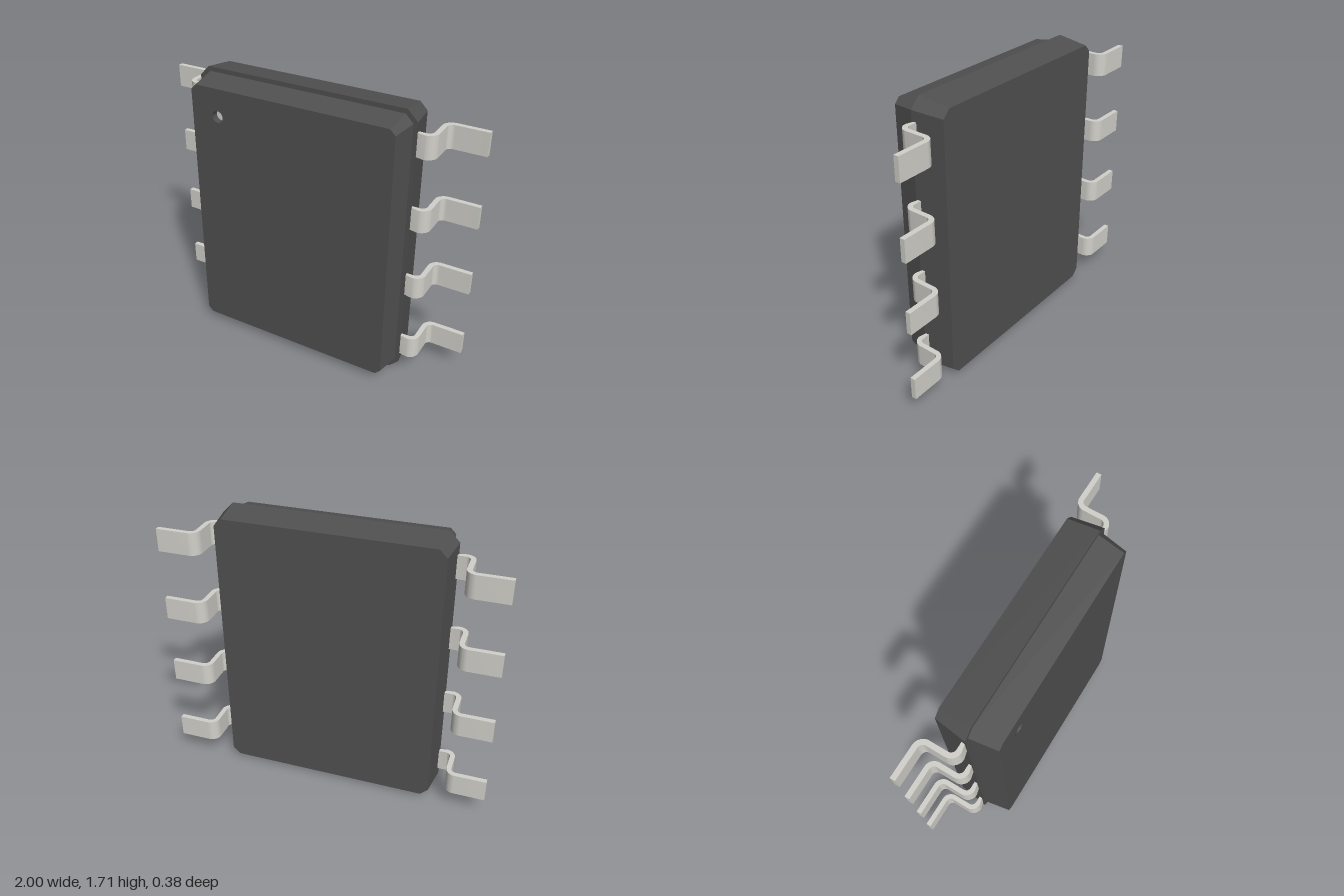
import * as THREE from 'three';
import { toCreasedNormals } from 'three/addons/utils/BufferGeometryUtils.js';

const CENTER_Y = 0.853;   // middle of the package
const SEAM_Z = 0.032;     // plane where the two body halves meet
const HOLE = { x: -0.457, y: 1.485 - CENTER_Y, r: 0.035, depth: 0.04 };

const bodyMat = new THREE.MeshStandardMaterial({ color: 0x505050 });
const metalMat = new THREE.MeshStandardMaterial({ color: 0xd2d1cb });

// Tapered slab with chamfered corners; wide end at z = 0, narrow end at z = depth
function taperedSlab(w, h, chamfer, depth, hole) {
  const outline = [];
  for (const [sx, sy] of [[1, 1], [-1, 1], [-1, -1], [1, -1]]) {
    const side = new THREE.Vector2(sx * w, sy * (h - chamfer));
    const end = new THREE.Vector2(sx * (w - chamfer), sy * h);
    outline.push(...(sx * sy > 0 ? [side, end] : [end, side]));
  }
  const shape = new THREE.Shape(outline);
  if (hole) {
    shape.holes.push(new THREE.Path().absarc(hole.x, hole.y, hole.r, 0, Math.PI * 2, true));
  }
  const geo = new THREE.ExtrudeGeometry(shape, { depth, bevelEnabled: false, curveSegments: 32 });

  // Draw the outer corners of the narrow end inward
  const p = geo.attributes.position;
  for (let i = 0; i < p.count; i++) {
    const x = p.getX(i), y = p.getY(i);
    if (p.getZ(i) < depth / 2) continue;
    const onSide = Math.abs(Math.abs(x) - w) < 1e-4;
    const onEnd = Math.abs(Math.abs(y) - h) < 1e-4;
    if (!onSide && !onEnd) continue;
    p.setXY(i, x - Math.sign(x) * (onSide ? 0.026 : 0.011), y - Math.sign(y) * (onEnd ? 0.026 : 0.011));
  }
  geo.computeVertexNormals();
  return toCreasedNormals(geo, 0.5);
}

// Gull-wing lead: S-bent strip drawn in x/z, extruded along y
function leadGeometry(side) {
  const t = 0.03, height = 0.138, rIn = 0.03, rOut = rIn + t;
  const front = 0.034, back = -0.192, xOut = 0.78, xIn = xOut - t;
  const s = new THREE.Shape();
  s.moveTo(0.6, front);
  s.absarc(xOut - rOut, front - rOut, rOut, Math.PI / 2, 0, true);
  s.absarc(xOut + rIn, back + rOut, rIn, Math.PI, Math.PI * 1.5, false);
  s.lineTo(1, back + t);
  s.lineTo(1, back);
  s.absarc(xIn + rOut, back + rOut, rOut, Math.PI * 1.5, Math.PI, true);
  s.absarc(xIn - rIn, front - rOut, rIn, 0, Math.PI / 2, false);
  s.lineTo(0.6, front - t);
  const pts = s.getPoints(8).map((v) => new THREE.Vector2(side * v.x, v.y));
  const geo = new THREE.ExtrudeGeometry(new THREE.Shape(pts), { depth: height, bevelEnabled: false });
  geo.translate(0, 0, -height / 2).rotateX(Math.PI / 2);
  return toCreasedNormals(geo, 0.5);
}

export function createModel() {
  const model = new THREE.Group();
  model.name = 'chipPackage';
  const add = (name, geo, mat, x, y, z) => {
    const mesh = new THREE.Mesh(geo, mat);
    mesh.name = name;
    mesh.position.set(x, y, z);
    model.add(mesh);
    return mesh;
  };

  // Two-part moulded body
  const frontDepth = 0.16;
  add('frontBody', taperedSlab(0.655, 0.826, 0.047, frontDepth, HOLE), bodyMat, 0, CENTER_Y, SEAM_Z);
  const backBody = taperedSlab(0.679, 0.853, 0.06, 0.19).rotateY(Math.PI);
  add('backBody', backBody, bodyMat, 0, CENTER_Y, SEAM_Z);

  // Recessed dot marking the first lead
  add('pinMarker', new THREE.CircleGeometry(HOLE.r, 32), metalMat,
    HOLE.x, CENTER_Y + HOLE.y, SEAM_Z + frontDepth - HOLE.depth);

  // Four leads on each side
  for (const side of [1, -1]) {
    const geo = leadGeometry(side);
    for (let i = 0; i < 4; i++) {
      add(`${side > 0 ? 'left' : 'right'}Lead${i + 1}`, geo, metalMat, 0, CENTER_Y + (i - 1.5) * 0.442, 0);
    }
  }
  return model;
}
